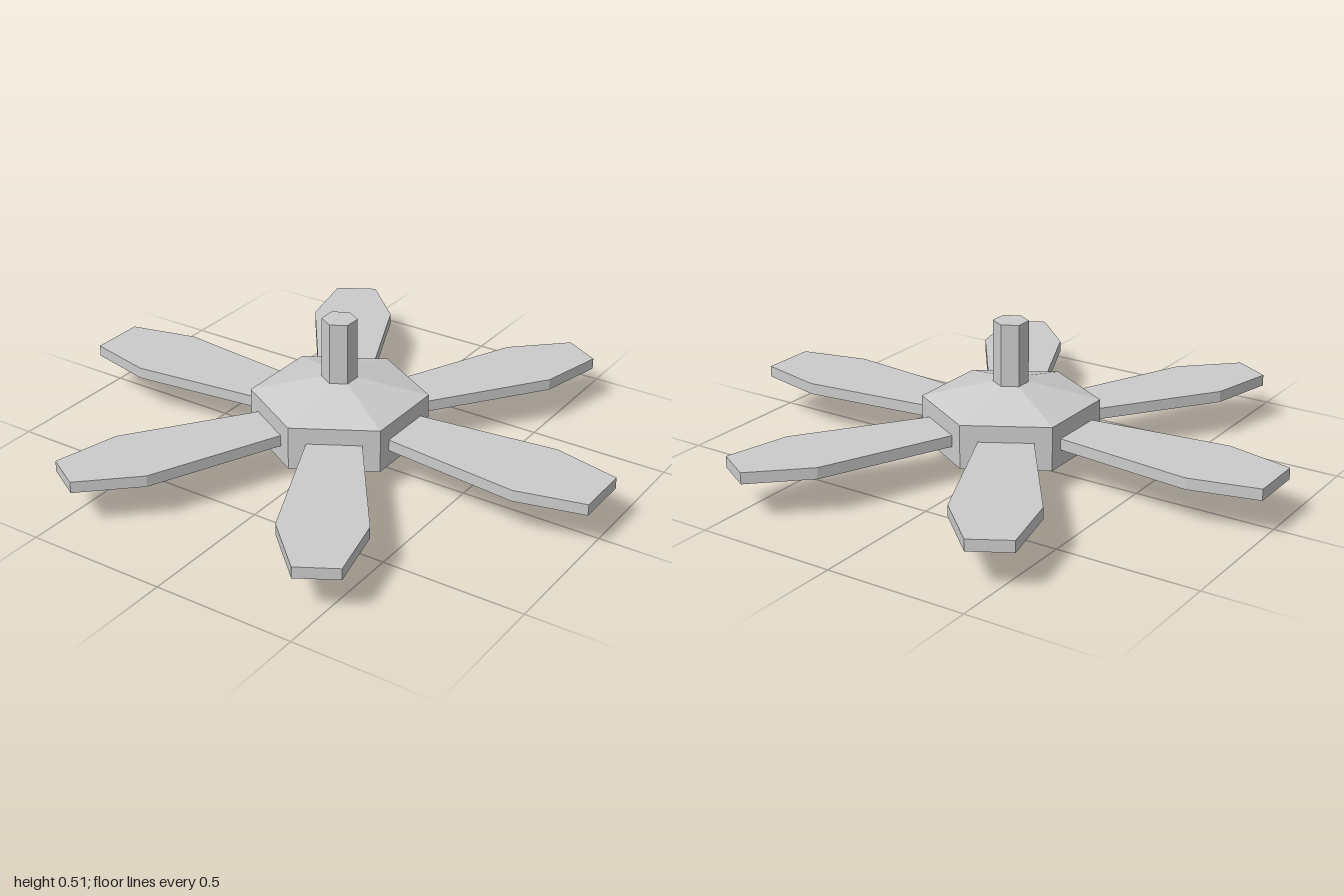
import * as THREE from 'three';

const material = new THREE.MeshStandardMaterial({ color: 0xcccccc, flatShading: true });

function addMesh(parent, name, geometry) {
  const mesh = new THREE.Mesh(geometry, material);
  mesh.name = name;
  parent.add(mesh);
  return mesh;
}

// Six-sided turned solid with corners on the z axis
function hexLathe(profile) {
  return new THREE.LatheGeometry(profile.map(([r, y]) => new THREE.Vector2(r, y)), 6);
}

// Flat tapered paddle pointing along +x, from [distance, half width] stations
function bladeGeometry(stations) {
  const lower = stations.map(([d, w]) => new THREE.Vector2(d, -w));
  const upper = stations.map(([d, w]) => new THREE.Vector2(d, w)).reverse();
  const geometry = new THREE.ExtrudeGeometry(new THREE.Shape([...lower, ...upper]), {
    depth: 0.04,
    bevelEnabled: false,
  });
  return geometry.rotateX(-Math.PI / 2).translate(0, 0.137, 0);
}

export function createModel() {
  const model = new THREE.Group();
  model.name = 'rotor';

  // Faceted hub: pointed underside, straight band, sloping roof
  addMesh(model, 'hub', hexLathe([[0, 0], [0.306, 0.08], [0.306, 0.235], [0.06, 0.295], [0, 0.295]]));

  // Hexagonal shaft on top
  addMesh(model, 'shaft', hexLathe([[0.061, 0.29], [0.061, 0.514], [0, 0.514]]));

  // Six blades, one per hub face; the two side blades are a little broader
  const sideBlade = bladeGeometry([[0.25, 0.099], [0.76, 0.156], [1, 0.099]]);
  const diagonalBlade = bladeGeometry([[0.25, 0.092], [0.76, 0.145], [0.992, 0.075]]);
  for (let i = 0; i < 6; i++) {
    const blade = addMesh(model, `blade${i + 1}`, i % 3 === 0 ? sideBlade : diagonalBlade);
    blade.rotation.y = (i * Math.PI) / 3;
  }

  return model;
}
